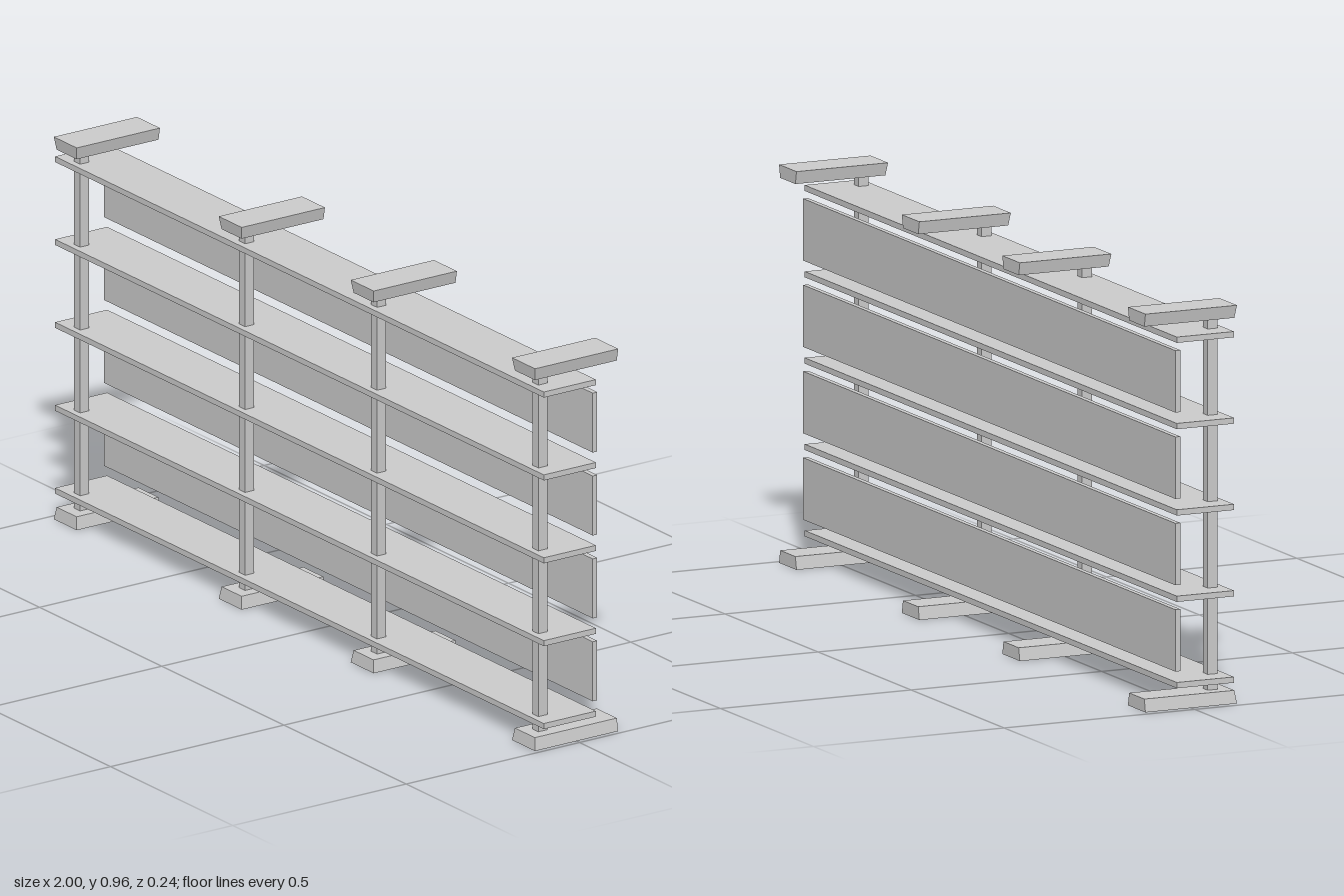
import * as THREE from 'three';

const material = new THREE.MeshStandardMaterial({ color: 0xcccccc, flatShading: true });

function addBox(parent, name, size, position) {
  const mesh = new THREE.Mesh(new THREE.BoxGeometry(...size), material);
  mesh.name = name;
  mesh.position.set(...position);
  parent.add(mesh);
  return mesh;
}

// Block whose sides and front lean inward towards its upper face; the back stays upright
function footGeometry() {
  const geometry = new THREE.BoxGeometry(0.094, 0.031, 0.24);
  const p = geometry.attributes.position;
  for (let i = 0; i < p.count; i++) {
    if (p.getY(i) < 0) continue;
    p.setX(i, p.getX(i) * 0.87);
    if (p.getZ(i) > 0) p.setZ(i, 0.116);
  }
  geometry.computeVertexNormals();
  return geometry;
}

// Same block turned upside down, keeping its front forward
function capGeometry() {
  return footGeometry().rotateZ(Math.PI);
}

export function createModel() {
  const model = new THREE.Group();
  model.name = 'shelfRack';

  // Uprights, each with a foot and a cap
  const foot = footGeometry();
  const cap = capGeometry();
  for (const x of [-0.934, -0.259, 0.281, 0.941]) {
    const upright = new THREE.Group();
    upright.name = 'upright';
    upright.position.x = x;
    addBox(upright, 'post', [0.025, 0.9, 0.026], [0, 0.479, 0.073]);
    for (const [name, geometry, y] of [['foot', foot, 0.0155], ['cap', cap, 0.9425]]) {
      const mesh = new THREE.Mesh(geometry, material);
      mesh.name = name;
      mesh.position.y = y;
      upright.add(mesh);
    }
    model.add(upright);
  }

  // Five horizontal shelves
  for (let i = 0; i < 5; i++) {
    addBox(model, 'shelf', [2, 0.014, 0.15], [0, 0.062 + i * 0.2077, 0.028]);
  }

  // Four back boards, one between each pair of shelves
  for (let i = 0; i < 4; i++) {
    addBox(model, 'backBoard', [2, 0.149, 0.013], [0, 0.17 + i * 0.2077, -0.0445]);
  }

  return model;
}
